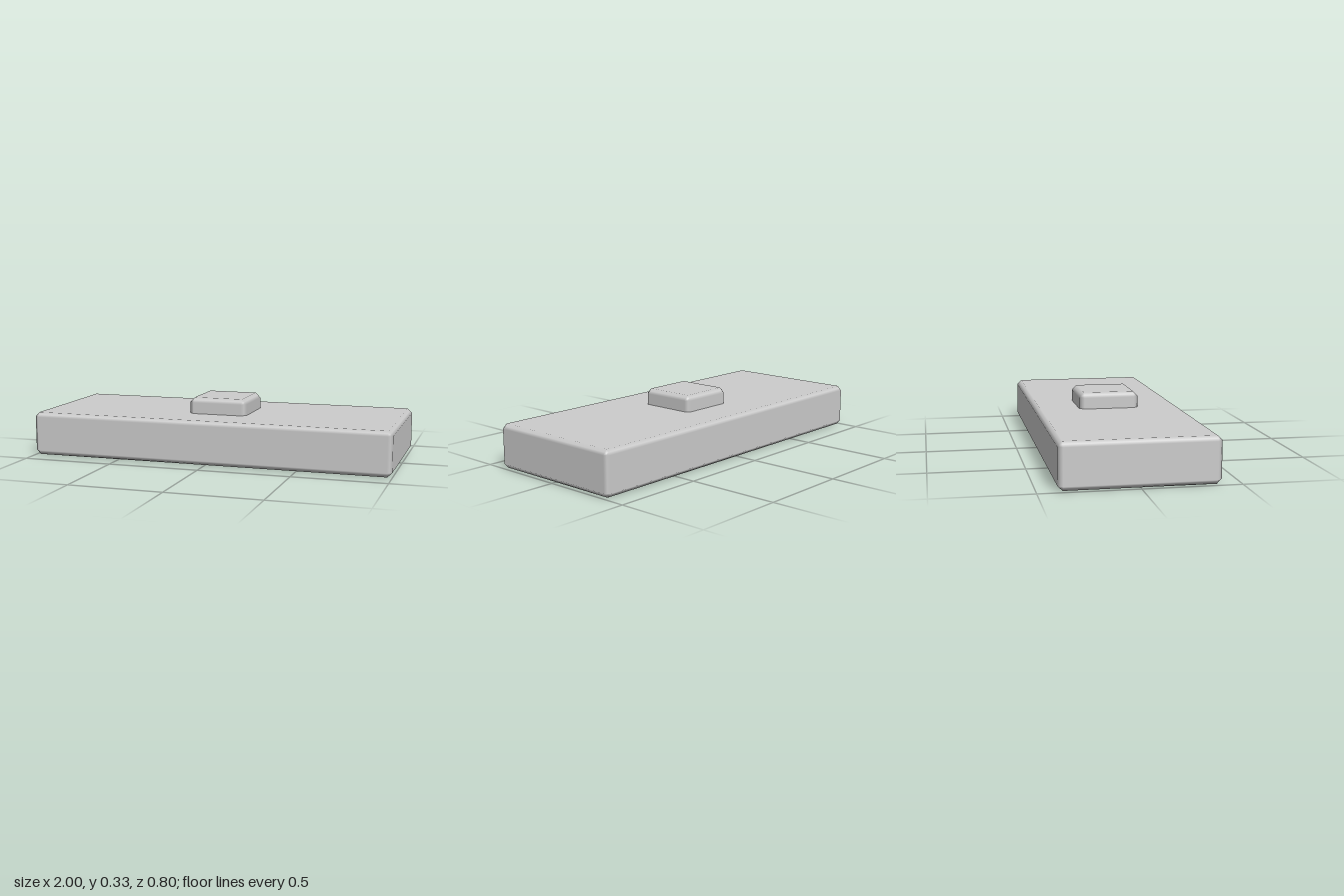
import * as THREE from 'three';
import { RoundedBoxGeometry } from 'three/addons/geometries/RoundedBoxGeometry.js';

// Box with flat 45 degree chamfers that keeps the smooth rounded normals
function chamferBox(w, h, d, bevel) {
  const geometry = new RoundedBoxGeometry(w, h, d, 1, bevel);
  const position = geometry.attributes.position;
  const normal = geometry.attributes.normal;
  const p = new THREE.Vector3();
  const n = new THREE.Vector3();
  for (let i = 0; i < position.count; i++) {
    p.fromBufferAttribute(position, i);
    n.fromBufferAttribute(normal, i);
    const span = Math.abs(n.x) + Math.abs(n.y) + Math.abs(n.z);
    p.addScaledVector(n, bevel * (1 / span - 1));
    position.setXYZ(i, p.x, p.y, p.z);
  }
  return geometry;
}

export function createModel() {
  const group = new THREE.Group();
  const material = new THREE.MeshStandardMaterial({ color: 0xcccccc });

  const addBlock = (name, w, d, bottom, top, bevel) => {
    const mesh = new THREE.Mesh(chamferBox(w, top - bottom, d, bevel), material);
    mesh.name = name;
    mesh.position.y = (top + bottom) / 2;
    group.add(mesh);
  };

  // Long slab
  addBlock('slab', 2, 0.8, 0.002, 0.241, 0.025);
  // Square block passing right through the slab
  addBlock('centreBlock', 0.328, 0.328, 0, 0.329, 0.027);

  return group;
}
